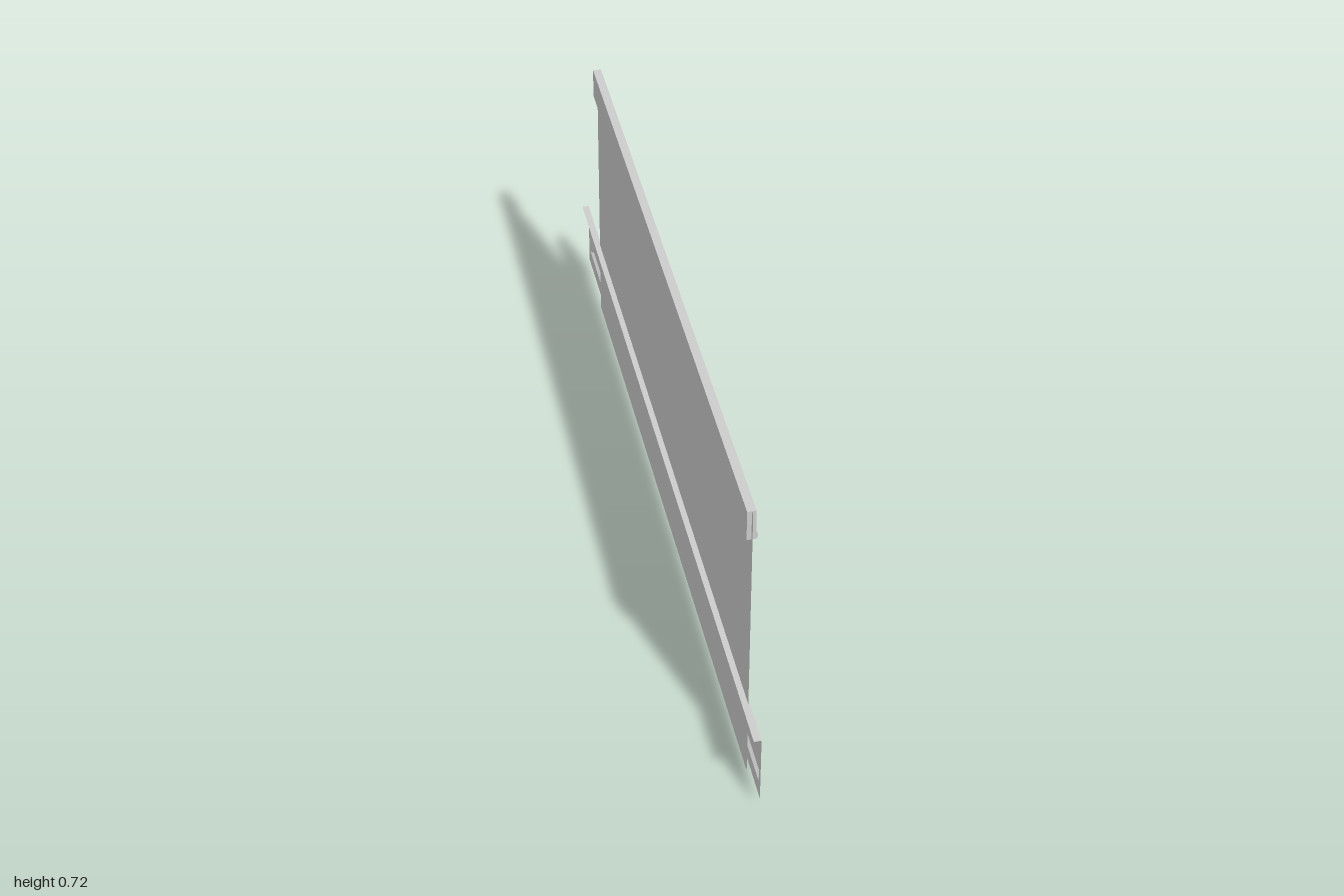
import * as THREE from 'three';

const material = new THREE.MeshStandardMaterial({ color: 0xcccccc, side: THREE.DoubleSide });

const COUNT = 9, PITCH = 2 / COUNT;          // raised panels along the board
const PANEL_Y = 0.112, HALF_H = 0.048, HALF_W = 0.096;
const BOARD_X = 0.003, DEPTH = 0.007;
const panelZ = i => -1 + PITCH * (i + 0.5);

function add(group, name, geometry, x = 0, y = 0, z = 0) {
  const mesh = new THREE.Mesh(geometry, material);
  mesh.name = name;
  mesh.position.set(x, y, z);
  group.add(mesh);
  return mesh;
}

// Rectangle outline, used for the board and its openings
function rect(path, x0, y0, x1, y1) {
  path.moveTo(x0, y0).lineTo(x1, y0).lineTo(x1, y1).lineTo(x0, y1).closePath();
  return path;
}

// Pressed panel: open-backed box whose outer face is drawn in to bevel the sides
function panelGeometry() {
  const g = new THREE.BoxGeometry(DEPTH, HALF_H * 2, HALF_W * 2);
  g.setIndex(Array.from(g.index.array).filter((_, i) => i < 6 || i >= 12));
  const p = g.attributes.position;
  for (let i = 0; i < p.count; i++) {
    if (p.getX(i) < 0) continue;
    p.setY(i, p.getY(i) - Math.sign(p.getY(i)) * 0.005);
    p.setZ(i, p.getZ(i) - Math.sign(p.getZ(i)) * 0.018);
  }
  g.computeVertexNormals();
  return g;
}

export function createModel() {
  const model = new THREE.Group();
  model.name = 'panelledWall';

  // Thin wall sheet
  add(model, 'wall', new THREE.PlaneGeometry(1.71, 0.722).rotateY(Math.PI / 2), 0, 0.361, 0.035);

  // Top trim with a rounded bead along its lower edge
  const profile = new THREE.Shape();
  profile.moveTo(-0.01, 0.648);
  profile.lineTo(0.0095, 0.648);
  profile.absellipse(0.0095, 0.658, 0.004, 0.009, -Math.PI / 2, Math.PI / 2, false);
  profile.lineTo(0.0095, 0.722);
  profile.lineTo(-0.01, 0.722);
  profile.closePath();
  const trim = new THREE.ExtrudeGeometry(profile, { depth: 1.7, bevelEnabled: false, curveSegments: 8 });
  add(model, 'topTrim', trim, 0, 0, -0.82);

  // Lower board with an opening behind each panel
  const wainscot = new THREE.Group();
  wainscot.name = 'wainscot';
  model.add(wainscot);
  const outline = rect(new THREE.Shape(), -1, 0.027, 1, 0.198);
  for (let i = 0; i < COUNT; i++) {
    const z = panelZ(i);
    outline.holes.push(rect(new THREE.Path(), z - HALF_W, PANEL_Y - HALF_H, z + HALF_W, PANEL_Y + HALF_H));
  }
  add(wainscot, 'board', new THREE.ShapeGeometry(outline).rotateY(Math.PI / 2), BOARD_X);

  // Raised panels
  const panel = panelGeometry();
  for (let i = 0; i < COUNT; i++) {
    add(wainscot, 'raisedPanel', panel, BOARD_X + DEPTH / 2, PANEL_Y, panelZ(i));
  }

  // Ledge along the top of the board, reaching through the wall
  add(wainscot, 'ledge', new THREE.PlaneGeometry(0.0165, 2).rotateX(-Math.PI / 2), -0.00525, 0.198, 0);

  return model;
}
